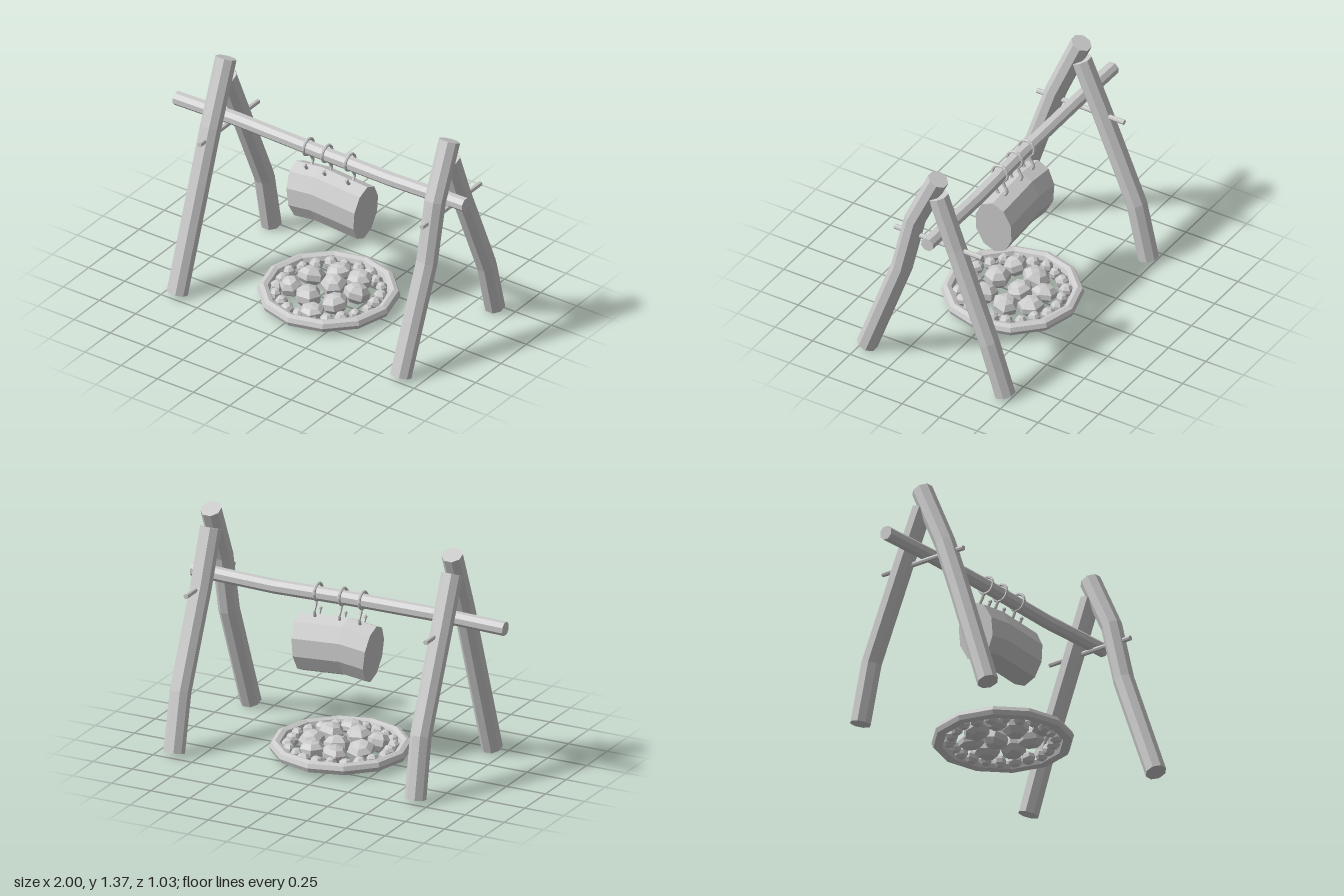
import * as THREE from 'three';

const mat = new THREE.MeshStandardMaterial({ color: 0xcccccc, flatShading: true });

function add(parent, name, geometry) {
  const mesh = new THREE.Mesh(geometry, mat);
  mesh.name = name;
  parent.add(mesh);
  return mesh;
}

// Capped faceted log through a list of points; ref sets the direction of the first radius.
function log(points, ref, ru, rv, sides, turn = 0) {
  const pts = points.map(p => new THREE.Vector3(...p));
  const n = pts.length - 1;
  const geo = new THREE.CylinderGeometry(1, 1, 1, sides, n).rotateY(turn);
  const frames = pts.map((p, i) => {
    const t = pts[Math.min(i + 1, n)].clone().sub(pts[Math.max(i - 1, 0)]).normalize();
    const u = ref.clone().addScaledVector(t, -ref.dot(t)).normalize();
    return { p, u, v: u.clone().cross(t) };
  });
  const pos = geo.attributes.position;
  for (let i = 0; i < pos.count; i++) {
    const f = frames[Math.round((pos.getY(i) + 0.5) * n)];
    const q = f.p.clone().addScaledVector(f.u, pos.getX(i) * ru).addScaledVector(f.v, pos.getZ(i) * rv);
    pos.setXYZ(i, q.x, q.y, q.z);
  }
  geo.computeVertexNormals();
  return geo;
}

const X = new THREE.Vector3(1, 0, 0);
const Z = new THREE.Vector3(0, 0, 1);

export function createModel() {
  const model = new THREE.Group();
  model.name = 'campfireSpit';

  // Two crossed-leg trestles, each pinned by pegs
  const trestles = [
    { name: 'rightTrestle', x: -0.66, pegX: -0.645,
      front: [[-0.005, 0.025, 0.46], [0.005, 0.67, 0.25], [0.007, 0.98, 0.145], [0, 1.355, -0.015]],
      back: [[0, 0.025, -0.46], [0.005, 0.38, -0.385], [0, 0.93, -0.15], [0, 1.24, -0.015]] },
    { name: 'leftTrestle', x: 0.885, pegX: 0.89,
      front: [[-0.005, 0.025, 0.46], [0.008, 0.67, 0.22], [0.005, 1.03, 0.135], [0, 1.355, -0.015]],
      back: [[0, 0.025, -0.46], [0.012, 0.36, -0.36], [0, 0.92, -0.135], [0, 1.24, -0.015]] },
  ];
  for (const t of trestles) {
    const g = new THREE.Group();
    g.name = t.name;
    for (const part of ['front', 'back']) {
      const leg = add(g, part + 'Leg', log(t[part], X, 0.062, 0.062, 8, Math.PI / 8));
      leg.position.x = t.x;
    }
    add(g, 'peg', log([[t.pegX, 0.923, 0.27], [t.pegX, 0.92, -0.31]], X, 0.015, 0.015, 8));
    model.add(g);
  }

  // Slightly crooked crossbeam
  add(model, 'crossbeam', log(
    [[-1, 0.967, -0.012], [-0.58, 0.975, -0.012], [0, 0.966, -0.005], [0.48, 0.955, -0.01], [1, 0.967, -0.012]],
    Z, 0.042, 0.042, 8, Math.PI / 8));

  // Hanging ten-sided joint
  add(model, 'hangingJoint', log(
    [[-0.16, 0.662, -0.022], [0.0, 0.681, -0.022], [0.3, 0.66, -0.022]], Z, 0.123, 0.175, 10));

  // Loops round the beam, with hooks piercing the joint
  for (const x of [-0.085, 0.043, 0.203]) {
    const g = new THREE.Group();
    g.name = 'hanger';
    const loop = add(g, 'loop', new THREE.TorusGeometry(0.05, 0.009, 6, 14));
    loop.rotation.y = Math.PI / 2;
    loop.position.set(x, 0.972, -0.006);
    const path = [[0.93, -0.02], [0.895, -0.035], [0.865, -0.052], [0.835, -0.04], [0.82, -0.01], [0.838, 0.012], [0.862, 0.024]];
    const curve = new THREE.CatmullRomCurve3(path.map(([y, z]) => new THREE.Vector3(x, y, z)));
    add(g, 'hook', new THREE.TubeGeometry(curve, 14, 0.009, 6));
    const tip = add(g, 'hookTip', new THREE.SphereGeometry(0.012, 6, 4));
    tip.position.set(x, 0.862, 0.024);
    model.add(g);
  }

  // Fire pit: faceted rim filled with stones
  const pit = new THREE.Group();
  pit.name = 'firePit';
  pit.position.set(0.06, 0, 0);
  const rim = add(pit, 'rim', new THREE.TorusGeometry(0.372, 0.036, 8, 12));
  rim.rotation.x = Math.PI / 2;
  rim.position.y = 0.061;

  const stone = (name, x, y, z, r, h, turn) => {
    const m = add(pit, name, new THREE.SphereGeometry(1, 6, 5));
    m.scale.set(r, h, r);
    m.position.set(x, y, z);
    m.rotation.set(0.2 * Math.sin(turn * 3), turn, 0.2 * Math.cos(turn * 5));
  };
  for (let i = 0; i < 22; i++) {
    const a = (i / 22) * Math.PI * 2;
    const r = 0.297 + 0.008 * Math.sin(i * 2.3);
    stone('smallStone', r * Math.sin(a), 0.062, -r * Math.cos(a), 0.04 + 0.004 * Math.sin(i * 1.7), 0.038, a * 1.3);
  }
  // x, z, radius, height of each large stone
  const large = [
    [-0.055, -0.18, 0.08, 0.05], [0.09, -0.18, 0.08, 0.055], [-0.16, -0.06, 0.085, 0.055],
    [0.0, -0.05, 0.08, 0.06], [0.16, -0.05, 0.08, 0.06], [-0.19, 0.1, 0.07, 0.06],
    [-0.05, 0.13, 0.08, 0.065], [0.12, 0.11, 0.08, 0.06], [0.06, 0.25, 0.075, 0.04],
  ];
  large.forEach(([x, z, r, h], i) => stone('largeStone', x, 0.08, z, r, h, i * 0.9));
  model.add(pit);

  return model;
}
